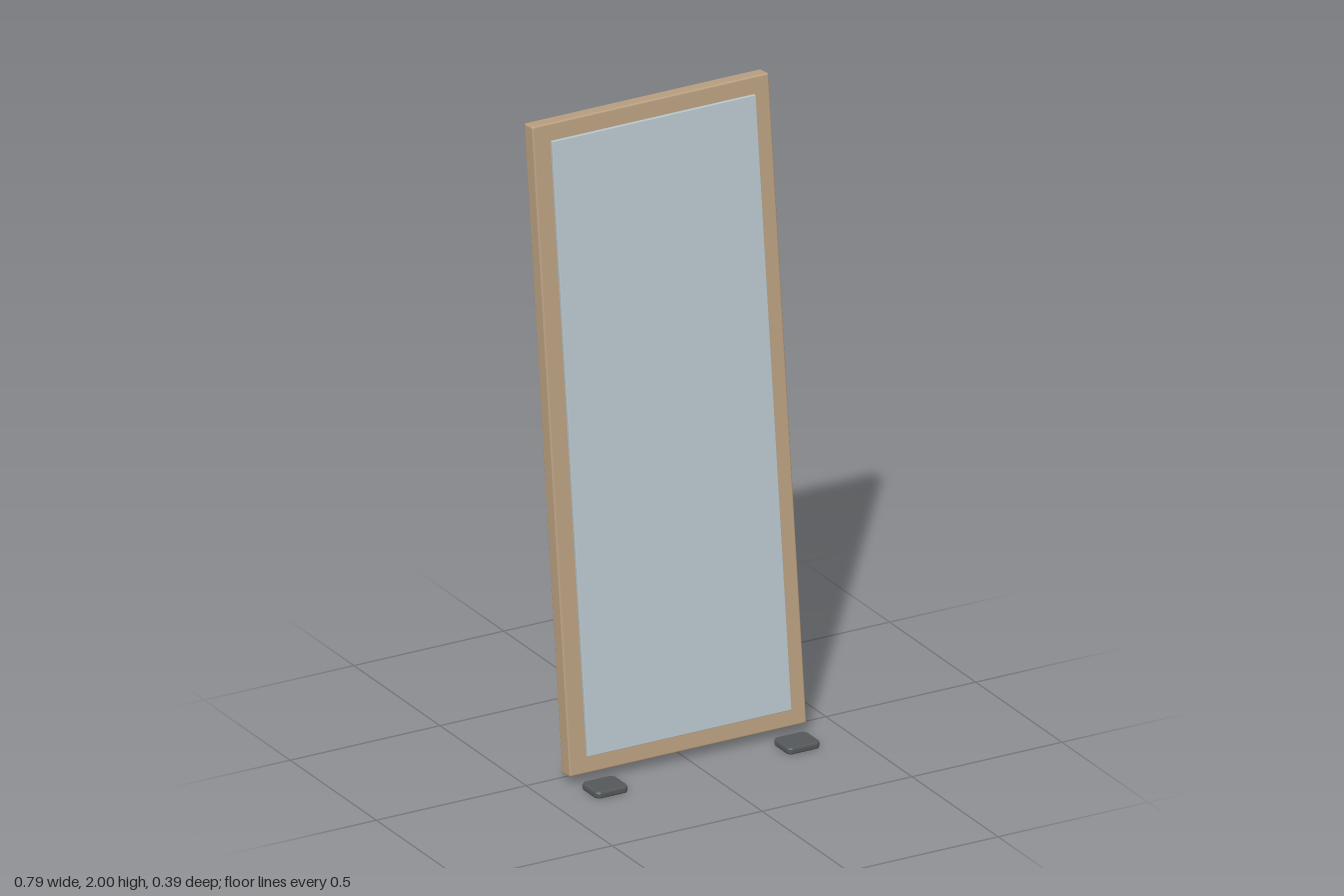
import * as THREE from 'three';
import { RoundedBoxGeometry } from 'three/addons/geometries/RoundedBoxGeometry.js';

const wood = new THREE.MeshStandardMaterial({ color: 0xb99f80 });
const glass = new THREE.MeshStandardMaterial({ color: 0xb8c6cc });
const rubber = new THREE.MeshStandardMaterial({ color: 0x55585a });

function softBox(name, w, h, d, r, material, x, y, z) {
  const mesh = new THREE.Mesh(new RoundedBoxGeometry(w, h, d, 2, r), material);
  mesh.name = name;
  mesh.position.set(x, y, z);
  return mesh;
}

// Flat pad with rounded corners and bevelled rims, standing on y = 0
function footPad(name, x, z) {
  const bevel = 0.006, w = 0.11 - 2 * bevel, d = 0.096 - 2 * bevel, r = 0.012;
  const a = w / 2, b = d / 2;
  const s = new THREE.Shape();
  s.moveTo(-a + r, -b);
  s.lineTo(a - r, -b);
  s.absarc(a - r, -b + r, r, -Math.PI / 2, 0);
  s.absarc(a - r, b - r, r, 0, Math.PI / 2);
  s.absarc(-a + r, b - r, r, Math.PI / 2, Math.PI);
  s.absarc(-a + r, -b + r, r, Math.PI, Math.PI * 1.5);
  const geo = new THREE.ExtrudeGeometry(s, {
    depth: 0.01, bevelEnabled: true, bevelSize: bevel, bevelThickness: bevel, bevelSegments: 2, curveSegments: 5,
  });
  geo.rotateX(-Math.PI / 2);
  const mesh = new THREE.Mesh(geo, rubber);
  mesh.name = name;
  mesh.position.set(x, bevel, z);
  return mesh;
}

export function createModel() {
  const model = new THREE.Group();
  model.name = 'leaningMirror';

  // Tilted panel: backing frame, mirror glass and rear rail
  const panel = new THREE.Group();
  panel.name = 'tiltedPanel';
  panel.position.set(0, 1.0125, -0.062);
  panel.rotation.x = -0.111;
  panel.add(
    softBox('frame', 0.79, 1.982, 0.05, 0.006, wood, 0, 0, 0),
    softBox('mirrorGlass', 0.68, 1.875, 0.012, 0.002, glass, 0, 0.0014, 0.033),
    softBox('rearRail', 0.65, 0.028, 0.032, 0.005, wood, 0, 0.349, -0.039),
  );
  model.add(panel);

  // Foot pads in front of the panel
  model.add(footPad('leftFoot', 0.32, 0.145), footPad('rightFoot', -0.32, 0.145));
  return model;
}
